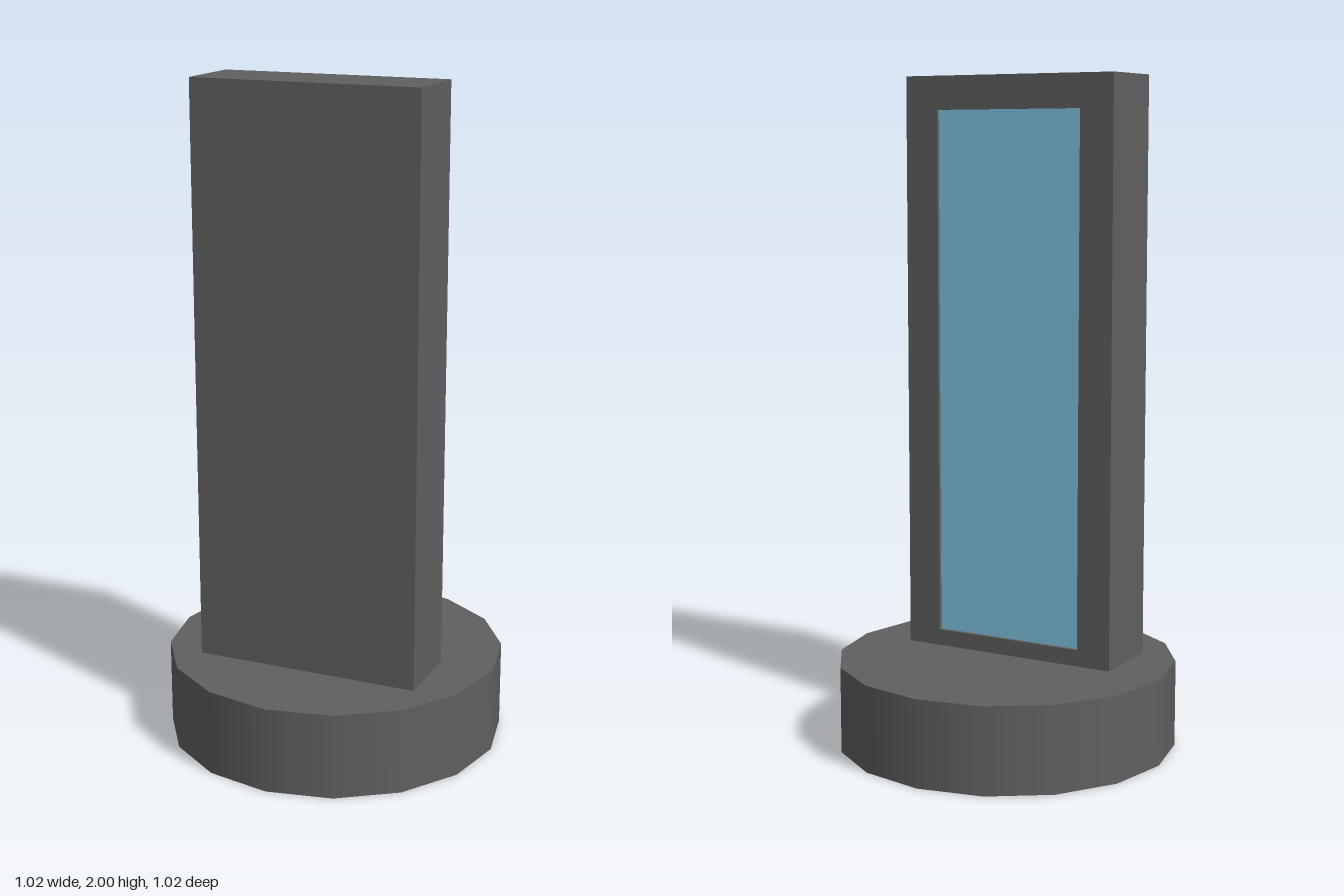
import * as THREE from 'three';

export function createModel() {
  const model = new THREE.Group();
  const grey = new THREE.MeshStandardMaterial({ color: 0x606060 });
  grey.name = 'dark grey';
  const blue = new THREE.MeshStandardMaterial({ color: 0x82c5e3 });
  blue.name = 'screen blue';

  const add = (name, geometry, material, x, y, z) => {
    const mesh = new THREE.Mesh(geometry, material);
    mesh.name = name;
    mesh.position.set(x, y, z);
    model.add(mesh);
    return mesh;
  };

  const baseTop = 0.26, top = 2, halfWidth = 0.347, depth = 0.23, recess = 0.015;
  const screen = { half: 0.24, bottom: 0.31, top: 1.9 };

  // Round sixteen-sided foot
  add('base', new THREE.CylinderGeometry(0.512, 0.512, baseTop, 16), grey, 0, baseTop / 2, 0);

  // Upright slab, with a raised frame around the screen at the back
  const height = top - baseTop;
  add('panel', new THREE.BoxGeometry(halfWidth * 2, height, depth - recess), grey,
    0, baseTop + height / 2, (depth + recess) / 2);

  const rectangle = (target, half, low, high) => target
    .moveTo(-half, low).lineTo(half, low).lineTo(half, high).lineTo(-half, high).closePath();
  const outline = rectangle(new THREE.Shape(), halfWidth, baseTop, top);
  outline.holes.push(rectangle(new THREE.Path(), screen.half, screen.bottom, screen.top));
  add('screenFrame', new THREE.ExtrudeGeometry(outline, { depth: recess, bevelEnabled: false }),
    grey, 0, 0, 0);

  // Thin screen sunk into the frame, facing the back
  add('screen', new THREE.BoxGeometry(screen.half * 2, screen.top - screen.bottom, 0.004), blue,
    0, (screen.top + screen.bottom) / 2, recess - 0.002);

  return model;
}
